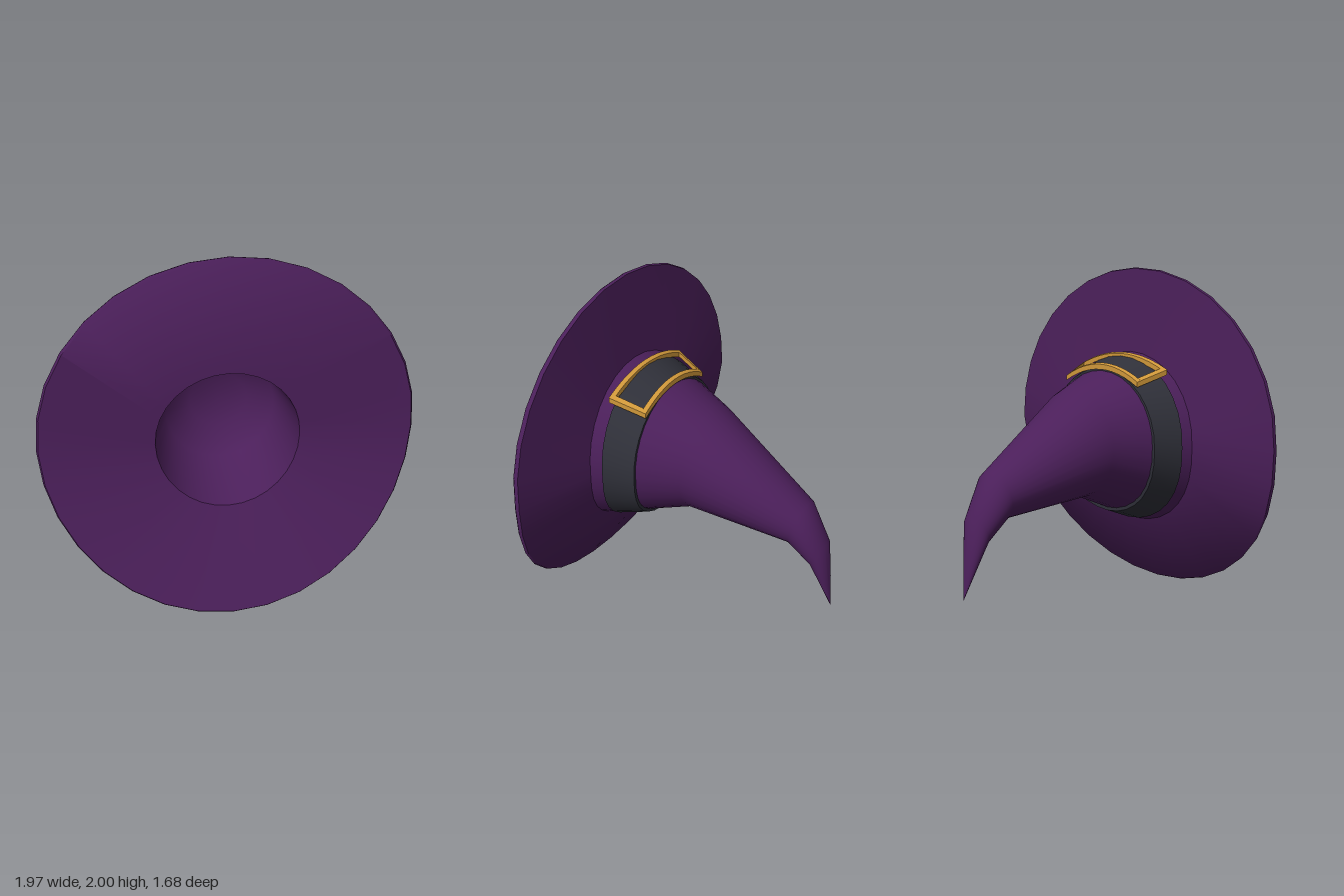
import * as THREE from 'three';
import { toCreasedNormals } from 'three/addons/utils/BufferGeometryUtils.js';

const SIDES = 32;
const lerp = THREE.MathUtils.lerp;

// Skin a list of rings. Each ring: [topZ, topY, bottomZ, bottomY, halfWidth, sideZ, bend]
function loft(rings, crease) {
  const pos = [], index = [];
  rings.forEach(([tz, ty, bz, by, w, sz = (tz + bz) / 2, bend = 1]) => {
    for (let i = 0; i < SIDES; i++) {
      const a = (i / SIDES) * Math.PI * 2, t = Math.cos(a);
      const endZ = t > 0 ? tz : bz;
      pos.push(w * Math.sin(a), (ty + by) / 2 + ((ty - by) / 2) * t,
        sz + (endZ - sz) * Math.pow(Math.abs(t), bend));
    }
  });
  for (let j = 0; j < rings.length - 1; j++) {
    for (let i = 0; i < SIDES; i++) {
      const k = (i + 1) % SIDES;
      const a = j * SIDES + i, b = j * SIDES + k, c = b + SIDES, d = a + SIDES;
      if (rings[j][4] > 0) index.push(a, b, c);
      else { index.push(a, c, d); continue; }
      if (rings[j + 1][4] > 0) index.push(a, c, d);
    }
  }
  const g = new THREE.BufferGeometry();
  g.setAttribute('position', new THREE.Float32BufferAttribute(pos, 3));
  g.setIndex(index);
  return toCreasedNormals(g, crease);
}

function addPart(parent, name, geometry, material) {
  const mesh = new THREE.Mesh(geometry, material);
  mesh.name = name;
  parent.add(mesh);
}

// Buckle bar: a box in (u across, h height, v front-to-back), bent over the band
function buckleBar(u0, u1, v0, v1) {
  const g = new THREE.BoxGeometry(u1 - u0, 0.03, v1 - v0, 12, 1, 1);
  g.translate((u0 + u1) / 2, 0, (v0 + v1) / 2);
  const p = g.attributes.position;
  for (let i = 0; i < p.count; i++) {
    const u = p.getX(i), h = p.getY(i), v = 1 - p.getZ(i);
    p.setXYZ(i, u * lerp(0.33, 0.275, v), lerp(1.485, 1.425, v) - 0.085 * u * u + h,
      lerp(0.447, 0.24, v));
  }
  const flat = toCreasedNormals(g, 0.6);
  return flat;
}

export function createModel() {
  const hat = new THREE.Group();
  hat.name = 'pointedHat';
  const cloth = new THREE.MeshStandardMaterial({ color: 0x4b1f5a });
  const dark = new THREE.MeshStandardMaterial({ color: 0x2f3039 });
  const gold = new THREE.MeshStandardMaterial({ color: 0xd0983a });

  // Inner hollow
  const lip = [0.588, 1.39, 0.62, 0.585, 0.38, 0.575, 1.4];
  addPart(hat, 'innerHollow', loft([
    [0.16, 0.98, 0.16, 0.98, 0],
    [0.17, 1.15, 0.18, 0.82, 0.16],
    [0.23, 1.31, 0.27, 0.665, 0.3],
    lip,
  ], 1.3), cloth);

  // Brim, from the opening round the rim to the foot of the crown
  const foot = [0.515, 1.5, 0.6, 0.44, 0.49, 0.485, 1.4];
  addPart(hat, 'brim', loft([
    lip,
    [0.57, 1.99, 0.84, 0.015, 0.975, 0.595, 1.4],
    [0.555, 2.0, 0.83, 0.003, 0.985, 0.58, 1.4],
    [0.54, 1.995, 0.815, 0.01, 0.98, 0.56, 1.4],
    foot,
  ], 1.0), cloth);

  // Crown with drooping tip
  addPart(hat, 'crown', loft([
    foot,
    [0.0, 1.31, 0.03, 0.685, 0.295],
    [-0.64, 0.93, -0.575, 0.67, 0.135],
    [-0.775, 0.71, -0.705, 0.56, 0.092],
    [-0.812, 0.48, -0.772, 0.42, 0.045],
    [-0.838, 0.28, -0.838, 0.28, 0],
  ], 1.2), cloth);

  // Band
  addPart(hat, 'band', loft([
    [0.44, 1.44, 0.51, 0.5, 0.43, 0.415, 1.4],
    [0.44, 1.485, 0.51, 0.465, 0.472, 0.415, 1.4],
    [0.25, 1.415, 0.31, 0.545, 0.405, 0.242, 1.4],
    [0.25, 1.37, 0.31, 0.59, 0.36, 0.242, 1.4],
  ], 0.7), dark);

  // Buckle frame
  const buckle = new THREE.Group();
  buckle.name = 'buckle';
  addPart(buckle, 'buckleFrontBar', buckleBar(-1, 1, 0.88, 1), gold);
  addPart(buckle, 'buckleBackBar', buckleBar(-1, 1, 0, 0.12), gold);
  addPart(buckle, 'buckleLeftBar', buckleBar(0.92, 1, 0.12, 0.88), gold);
  addPart(buckle, 'buckleRightBar', buckleBar(-1, -0.92, 0.12, 0.88), gold);
  hat.add(buckle);

  return hat;
}
